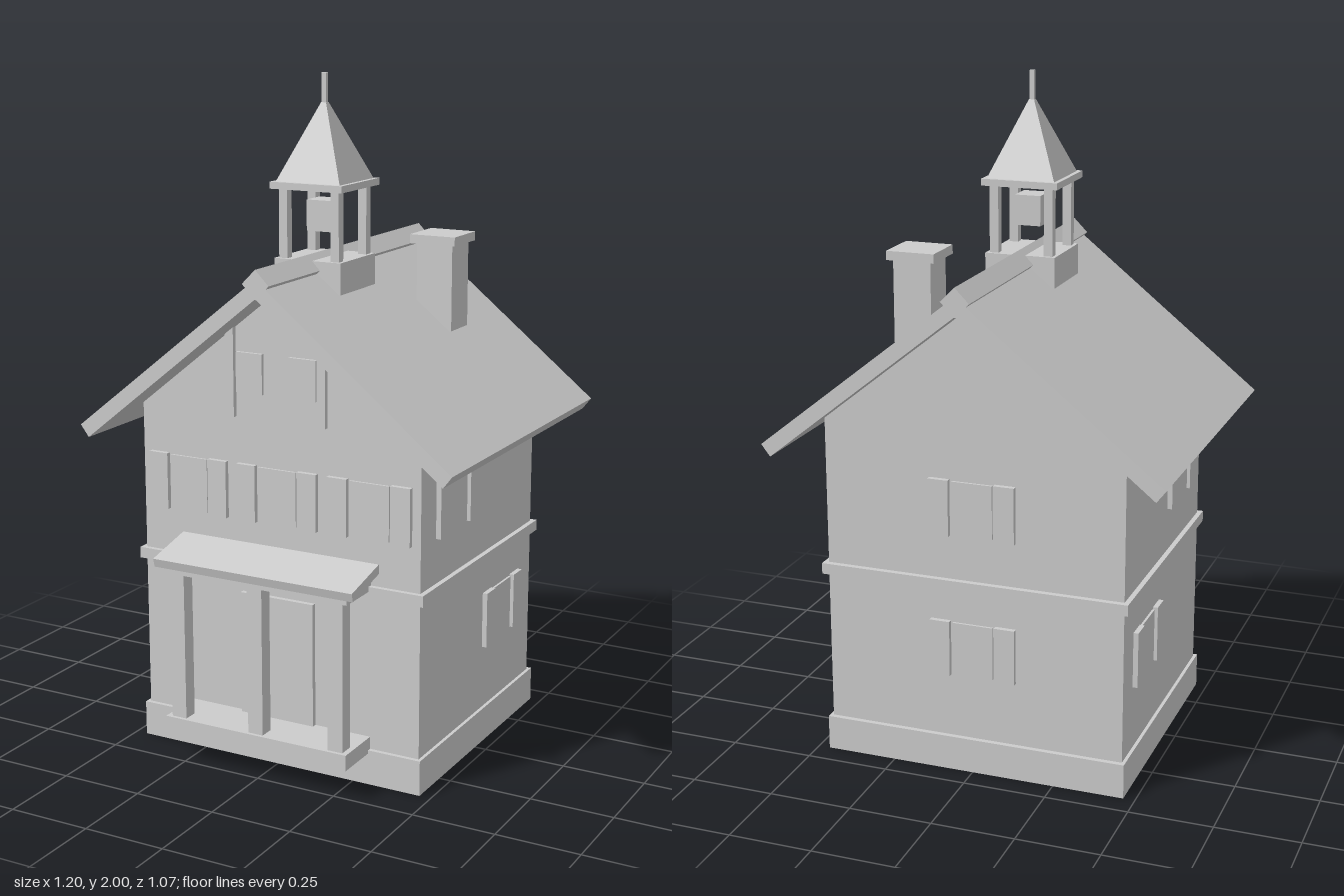
import * as THREE from 'three';

const stone = new THREE.MeshStandardMaterial({ color: 0xcccccc });
stone.name = 'pale grey';

function add(parent, name, geometry, x = 0, y = 0, z = 0) {
  const mesh = new THREE.Mesh(geometry, stone);
  mesh.name = name;
  mesh.position.set(x, y, z);
  parent.add(mesh);
  return mesh;
}

// Box given by its low and high limits on each axis
function box(parent, name, [x0, x1], [y0, y1], [z0, z1]) {
  return add(parent, name, new THREE.BoxGeometry(x1 - x0, y1 - y0, z1 - z0),
    (x0 + x1) / 2, (y0 + y1) / 2, (z0 + z1) / 2);
}

// Outline in x/y extruded from z0 to z1
function prism(parent, name, points, z0, z1) {
  const shape = new THREE.Shape(points.map(([x, y]) => new THREE.Vector2(x, y)));
  return add(parent, name,
    new THREE.ExtrudeGeometry(shape, { depth: z1 - z0, bevelEnabled: false }), 0, 0, z0);
}

// Window with a shutter on each side, facing +z before it is turned
function shutteredWindow(parent, x, y, z, turn) {
  const group = new THREE.Group();
  group.name = 'shutteredWindow';
  box(group, 'windowPane', [-0.062, 0.062], [-0.081, 0.081], [-0.01, 0.007]);
  for (const s of [-1, 1]) {
    add(group, 'shutter', new THREE.BoxGeometry(0.062, 0.17, 0.025), s * 0.1, 0, 0.0025);
  }
  group.position.set(x, y, z);
  group.rotation.y = turn;
  parent.add(group);
}

export function createModel() {
  const house = new THREE.Group();
  house.name = 'house';
  const W = 0.455, FRONT = 0.37, BACK = -0.415;

  // Body
  box(house, 'foundation', [-0.465, 0.465], [0, 0.105], [-0.43, 0.383]);
  prism(house, 'walls', [[-W, 0.1], [W, 0.1], [W, 1.055], [0, 1.42], [-W, 1.055]], BACK, FRONT);
  box(house, 'floorBand', [-0.47, 0.47], [0.567, 0.6], [-0.432, 0.385]);

  // Roof slabs and ridge
  for (const s of [-1, 1]) {
    const outline = [[0, 1.41], [s * 0.573, 0.95], [s * 0.6, 0.985], [0, 1.465]];
    prism(house, 'roofSlab', s > 0 ? outline : outline.reverse(), -0.533, 0.485);
  }
  const ridge = add(house, 'ridgeBeam', new THREE.BoxGeometry(0.06, 0.06, 1.018), 0, 1.449, -0.024);
  ridge.rotation.z = Math.PI / 4;

  // Chimney
  box(house, 'chimneyShaft', [0.18, 0.295], [1.235, 1.495], [-0.267, -0.153]);
  box(house, 'chimneyCap', [0.163, 0.309], [1.492, 1.519], [-0.284, -0.139]);

  // Bell tower
  const tower = new THREE.Group();
  tower.name = 'bellTower';
  tower.position.z = 0.087;
  house.add(tower);
  box(tower, 'towerBase', [-0.108, 0.108], [1.383, 1.475], [-0.108, 0.108]);
  for (const x of [-0.084, 0.084]) {
    for (const z of [-0.084, 0.084]) {
      add(tower, 'towerPost', new THREE.BoxGeometry(0.027, 0.205, 0.027), x, 1.576, z);
    }
  }
  add(tower, 'bell', new THREE.BoxGeometry(0.078, 0.09, 0.078), 0, 1.595, 0);
  box(tower, 'towerCornice', [-0.117, 0.117], [1.675, 1.695], [-0.117, 0.117]);
  const spire = new THREE.CylinderGeometry(0.008 * Math.SQRT2, 0.104 * Math.SQRT2, 0.222, 4, 1)
    .rotateY(Math.PI / 4).toNonIndexed();
  spire.computeVertexNormals();
  add(tower, 'spire', spire, 0, 1.805, 0);
  box(tower, 'finial', [-0.007, 0.007], [1.9, 2], [-0.007, 0.007]);

  // Windows: front row, both sides, back
  for (const x of [-0.297, 0, 0.297]) shutteredWindow(house, x, 0.818, FRONT, 0);
  for (const s of [-1, 1]) {
    shutteredWindow(house, s * W, 0.818, 0.142, s * Math.PI / 2);
    shutteredWindow(house, s * W, 0.385, -0.19, s * Math.PI / 2);
  }
  for (const y of [0.385, 0.818]) shutteredWindow(house, 0, y, BACK, Math.PI);

  // Gable windows and struts
  for (const s of [-1, 1]) {
    add(house, 'gableWindow', new THREE.BoxGeometry(0.086, 0.118, 0.02), s * 0.087, 1.172, FRONT);
    const a = s * 0.135, b = s * 0.162;
    const strut = [[b, 1.04], [a, 1.04], [a, 1.305], [b, 1.285]];
    prism(house, 'gableStrut', s > 0 ? strut.reverse() : strut, FRONT - 0.01, FRONT + 0.015);
  }

  // Porch
  box(house, 'door', [-0.12, 0.12], [0.14, 0.515], [FRONT - 0.01, 0.385]);
  box(house, 'porchFloor', [-0.3, 0.3], [0.095, 0.142], [0.36, 0.52]);
  for (const x of [-0.26, 0, 0.26]) {
    add(house, 'porchPost', new THREE.BoxGeometry(0.048, 0.45, 0.045), x, 0.365, 0.487);
  }
  box(house, 'porchBeam', [-0.3, 0.3], [0.585, 0.612], [0.36, 0.515]);
  const awning = prism(house, 'porchRoof',
    [[-0.525, 0.602], [-0.36, 0.64], [-0.36, 0.668], [-0.532, 0.628]], -0.325, 0.325);
  awning.rotation.y = Math.PI / 2;
  awning.position.set(-0.325, 0, 0);

  return house;
}
